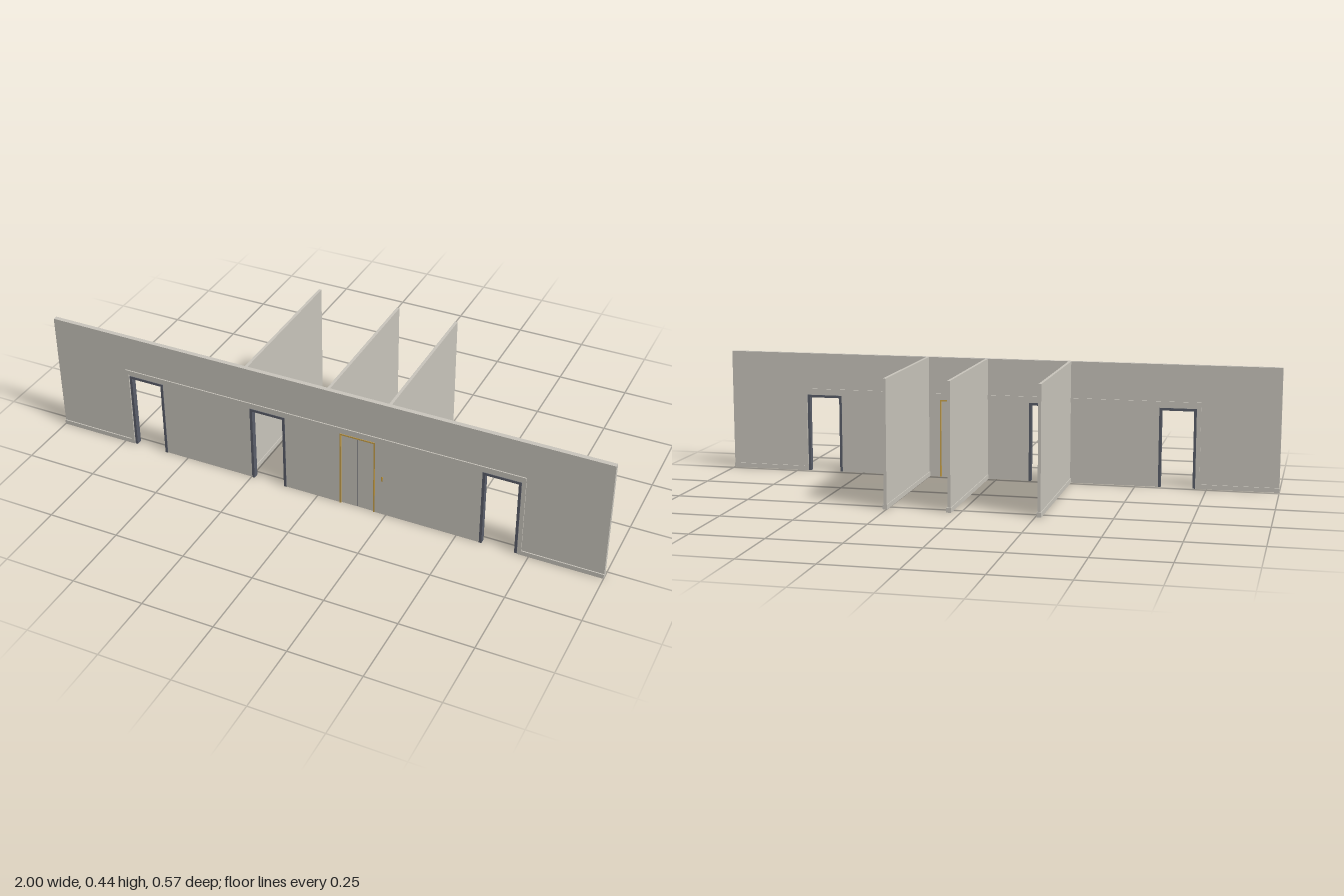
import * as THREE from 'three';

const mat = (name, color) => Object.assign(new THREE.MeshStandardMaterial({ color }), { name });

export function createModel() {
  const root = new THREE.Group();
  root.name = 'corridorWalls';
  const plaster = mat('warm grey plaster', 0xc8c4bb);
  const steel = mat('dark steel', 0x5a5e69);
  const brass = mat('brass', 0xc9a24a);

  const H = 0.435, FRONT = 0.283, BACK = 0.267, MID = (FRONT + BACK) / 2;
  const DOOR_H = 0.28, PROUD = 0.004;

  // Box given by its limits on each axis
  function box(name, material, x0, x1, y0, y1, z0, z1, parent = root) {
    const m = new THREE.Mesh(new THREE.BoxGeometry(x1 - x0, y1 - y0, z1 - z0), material);
    m.position.set((x0 + x1) / 2, (y0 + y1) / 2, (z0 + z1) / 2);
    m.name = name;
    parent.add(m);
    return m;
  }

  // Long wall with door notches cut up from the floor
  const doors = [[-0.71, -0.58], [-0.247, -0.117], [0.083, 0.21], [0.58, 0.71]];
  const outline = new THREE.Shape();
  outline.moveTo(-1, 0);
  for (const [a, b] of doors) {
    outline.lineTo(a, 0);
    outline.lineTo(a, DOOR_H);
    outline.lineTo(b, DOOR_H);
    outline.lineTo(b, 0);
  }
  outline.lineTo(1, 0);
  outline.lineTo(1, H);
  outline.lineTo(-1, H);
  const wall = new THREE.Mesh(
    new THREE.ExtrudeGeometry(outline, { depth: FRONT - BACK, bevelEnabled: false }), plaster);
  wall.position.z = BACK;
  wall.name = 'longWall';
  root.add(wall);

  // Door lining: two jambs and a head, slightly proud of the wall
  function doorFrame(name, material, a, b, t, top, proud) {
    const g = new THREE.Group();
    g.name = name;
    const z0 = BACK - proud, z1 = FRONT + proud;
    box('leftJamb', material, b - t, b, 0, top, z0, z1, g);
    box('rightJamb', material, a, a + t, 0, top, z0, z1, g);
    box('head', material, a + t, b - t, top - t, top, z0, z1, g);
    root.add(g);
  }
  doors.forEach(([a, b], i) => {
    if (i !== 2) doorFrame('openDoorFrame', steel, a, b, 0.009, DOOR_H + 0.002, 0.002);
  });

  // Closed double door with a brass frame, centre seam and call button
  const [da, db] = doors[2], dm = (da + db) / 2;
  doorFrame('brassDoorFrame', brass, da, db, 0.005, DOOR_H + 0.001, 0.002);
  box('rightDoorLeaf', plaster, da + 0.005, dm - 0.001, 0, DOOR_H - 0.004, BACK + 0.003, FRONT - 0.003);
  box('leftDoorLeaf', plaster, dm + 0.001, db - 0.005, 0, DOOR_H - 0.004, BACK + 0.003, FRONT - 0.003);
  box('doorSeam', steel, dm - 0.001, dm + 0.001, 0, DOOR_H - 0.004, BACK + 0.004, FRONT - 0.004);
  box('callButton', brass, 0.233, 0.238, 0.135, 0.153, FRONT, FRONT + 0.002);

  // Rail above the doors, edge strips and end skirting, on both faces
  for (const [z0, z1] of [[FRONT, FRONT + PROUD], [BACK - PROUD, BACK]]) {
    box('doorRail', plaster, -0.725, 0.725, 0.289, 0.305, z0, z1);
    for (const s of [-1, 1]) {
      const span = (p, q) => (s > 0 ? [p, q] : [-q, -p]);
      box('edgeStrip', plaster, ...span(0.712, 0.725), 0.016, 0.289, z0, z1);
      box('endSkirting', plaster, ...span(0.712, 1), 0, 0.016, z0, z1);
    }
  }

  // Cross walls running back, each with a skirting wrapped round its foot
  for (const x of [-0.262, 0.038, 0.255]) {
    box('crossWall', plaster, x - 0.005, x + 0.005, 0, H, -0.283, BACK);
    box('crossWallSkirting', plaster, x - 0.008, x + 0.008, 0, 0.016, -0.287, BACK);
  }
  return root;
}
